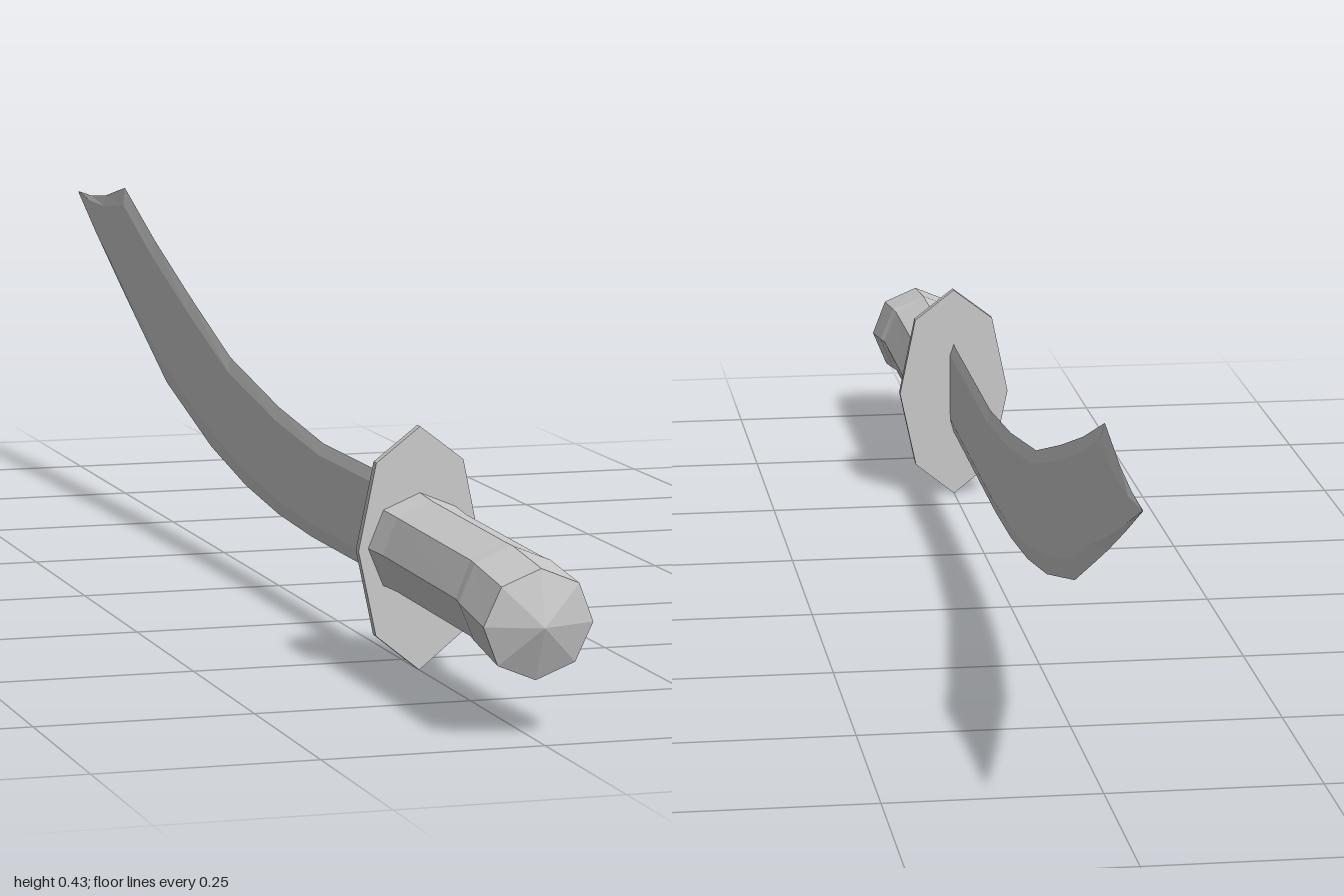
import * as THREE from 'three';

const steel = new THREE.MeshStandardMaterial({ color: 0xcccccc, flatShading: true });

// Skin closed rings of equal length (each counter-clockwise seen from +z, ordered from +z to -z).
function loft(name, rings) {
  const n = rings[0].length, pos = [], idx = [];
  rings.forEach(r => r.forEach(p => pos.push(...p)));
  for (let i = 0; i < rings.length - 1; i++) {
    for (let j = 0; j < n; j++) {
      const a = i * n + j, b = i * n + (j + 1) % n;
      idx.push(a, a + n, b, b, a + n, b + n);
    }
  }
  // end caps as fans around the ring centres
  [0, rings.length - 1].forEach((r, end) => {
    const c = [0, 1, 2].map(k => rings[r].reduce((s, p) => s + p[k], 0) / n);
    const ci = pos.length / 3;
    pos.push(...c);
    for (let j = 0; j < n; j++) {
      const a = r * n + j, b = r * n + (j + 1) % n;
      if (end === 0) idx.push(ci, a, b); else idx.push(ci, b, a);
    }
  });
  const g = new THREE.BufferGeometry();
  g.setAttribute('position', new THREE.Float32BufferAttribute(pos, 3));
  g.setIndex(idx);
  g.computeVertexNormals();
  const m = new THREE.Mesh(g, steel);
  m.name = name;
  return m;
}

// Octagon with a corner at the top; lean shifts the upper part along z.
function octagon(z, y, rx, ry, lean = 0) {
  return Array.from({ length: 8 }, (_, i) => {
    const a = i * Math.PI / 4;
    return [Math.cos(a) * rx, y + Math.sin(a) * ry, z + Math.sin(a) * lean];
  });
}

// Slim six-sided blade section: sharp cutting edge, flat sides, ridged spine.
function bladeSection([zLow, yLow, zTop, yTop, half]) {
  const at = (t, x) => [x, yLow + (yTop - yLow) * t, zLow + (zTop - zLow) * t];
  return [at(0, 0), at(0.15, half), at(0.88, half), at(1, 0), at(0.88, -half), at(0.15, -half)];
}

export function createModel() {
  const model = new THREE.Group();

  // Grip with a slightly drooping, swollen end and a shallow pointed pommel
  model.add(loft('grip', [
    octagon(0.997, 0.127, 0.001, 0.001),
    octagon(0.976, 0.127, 0.062, 0.062, 0.008),
    octagon(0.89, 0.138, 0.061, 0.06),
    octagon(0.87, 0.139, 0.058, 0.059),
    octagon(0.61, 0.143, 0.058, 0.06),
    octagon(0.56, 0.144, 0.062, 0.062),
  ]));

  // Thin elongated hand guard
  const outline = [[0, 0], [0.052, 0.042], [0.073, 0.141], [0.052, 0.242],
    [0, 0.282], [-0.052, 0.242], [-0.073, 0.141], [-0.052, 0.042]];
  const guardShape = new THREE.Shape(outline.map(p => new THREE.Vector2(...p)));
  const guard = new THREE.Mesh(
    new THREE.ExtrudeGeometry(guardShape, { depth: 0.011, bevelEnabled: false }), steel);
  guard.position.z = 0.555;
  guard.name = 'guard';
  model.add(guard);

  // Curved blade: edge z, edge y, spine z, spine y, half thickness
  model.add(loft('blade', [
    [0.56, 0.085, 0.56, 0.207, 0.005],
    [0.14, 0.085, 0.19, 0.207, 0.005],
    [0, 0.09, 0, 0.225, 0.005],
    [-0.15, 0.104, -0.22, 0.259, 0.005],
    [-0.31, 0.13, -0.42, 0.317, 0.005],
    [-0.53, 0.185, -0.59, 0.37, 0.005],
    [-0.66, 0.24, -0.745, 0.425, 0.005],
    [-0.77, 0.287, -0.85, 0.404, 0.004],
    [-0.89, 0.341, -0.93, 0.396, 0.003],
    [-1, 0.393, -1, 0.395, 0.0005],
  ].map(bladeSection)));

  return model;
}
